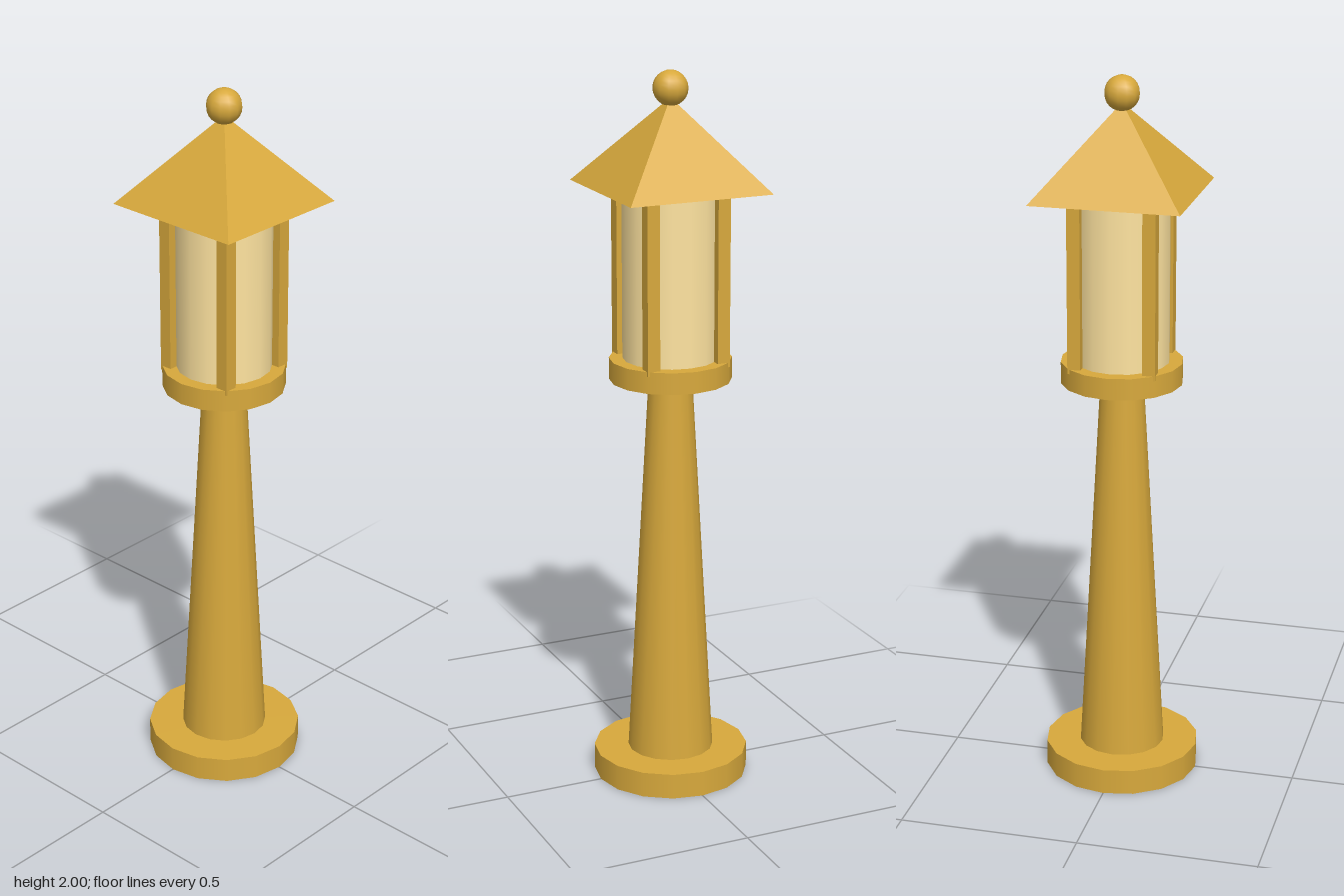
import * as THREE from 'three';

export function createModel() {
  const model = new THREE.Group();
  model.name = 'lampPost';
  const metal = new THREE.MeshStandardMaterial({ color: 0xd8a93c });
  const roofMetal = new THREE.MeshStandardMaterial({ color: 0xd8a93c, flatShading: true });
  const glass = new THREE.MeshStandardMaterial({ color: 0xffe4a0 });

  const add = (name, geometry, material, x, y, z) => {
    const mesh = new THREE.Mesh(geometry, material);
    mesh.name = name;
    mesh.position.set(x, y, z);
    model.add(mesh);
    return mesh;
  };
  // Upright round part between two heights
  const round = (name, rTop, rBottom, y0, y1, material = metal) =>
    add(name, new THREE.CylinderGeometry(rTop, rBottom, y1 - y0, 16), material, 0, (y0 + y1) / 2, 0);

  // Foot, tapered column and lantern platform
  round('base', 0.217, 0.217, 0, 0.072);
  round('column', 0.06, 0.12, 0.072, 1.158);
  round('platform', 0.168, 0.168, 1.158, 1.218);

  // Wide lantern glass with four square corner posts set into it
  round('glass', 0.131, 0.131, 1.218, 1.676, glass);
  for (const x of [-0.103, 0.103])
    for (const z of [-0.103, 0.103])
      add('cornerPost', new THREE.BoxGeometry(0.036, 0.483, 0.036), metal, x, 1.447, z);

  // Pyramid roof and ball finial
  const roof = add('roof', new THREE.ConeGeometry(0.29, 0.24, 4), roofMetal, 0, 1.807, 0);
  roof.rotation.y = Math.PI / 4;
  add('finial', new THREE.SphereGeometry(0.048, 12, 12), metal, 0, 1.952, 0);

  return model;
}
